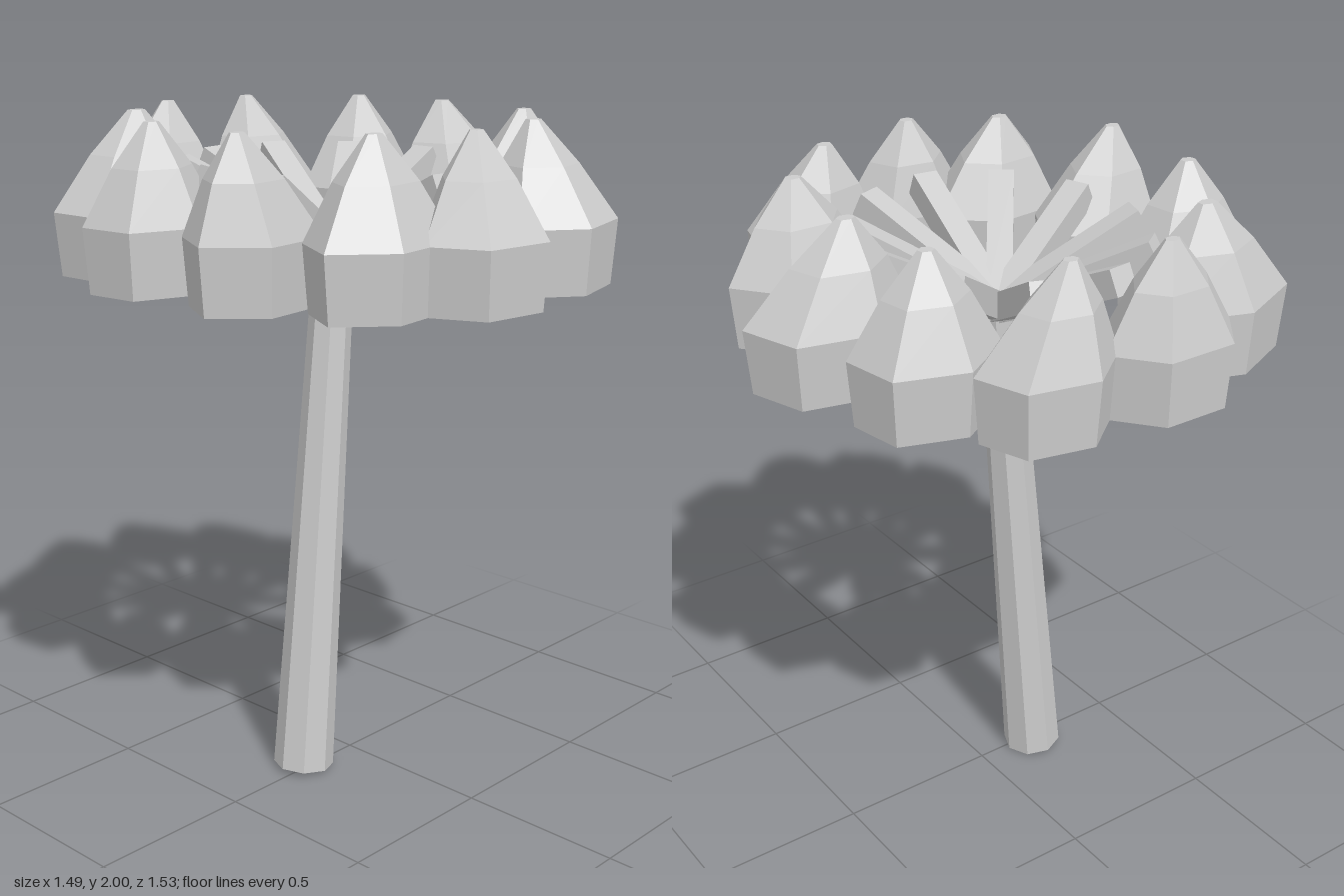
import * as THREE from 'three';

// Closed solid lofted through rings of equal point count, listed bottom to top
function loft(rings) {
  const pos = [];
  const n = rings[0].length;
  const tri = (...pts) => pts.forEach((p) => pos.push(p.x, p.y, p.z));
  const middle = (ring) => ring.reduce((s, p) => s.add(p), new THREE.Vector3()).divideScalar(n);
  const low = rings[0];
  const high = rings[rings.length - 1];
  for (let i = 0; i < n; i++) {
    const j = (i + 1) % n;
    for (let k = 0; k < rings.length - 1; k++) {
      const a = rings[k];
      const b = rings[k + 1];
      tri(a[i], b[i], a[j]);
      tri(a[j], b[i], b[j]);
    }
    tri(middle(low), low[i], low[j]);
    tri(middle(high), high[j], high[i]);
  }
  const geo = new THREE.BufferGeometry();
  geo.setAttribute('position', new THREE.Float32BufferAttribute(pos, 3));
  geo.computeVertexNormals();
  return geo;
}

// Mesh whose local +y runs from one point to another
function along(geo, material, from, to) {
  const mesh = new THREE.Mesh(geo, material);
  mesh.position.copy(from).add(to).multiplyScalar(0.5);
  mesh.quaternion.setFromUnitVectors(new THREE.Vector3(0, 1, 0), to.clone().sub(from).normalize());
  return mesh;
}

// Six-sided clump: tapered base, shoulder, then a peak leaning to its apex
function clumpGeometry([x, z, rx, rz, phase, ax, az]) {
  // height, scale, shift towards the apex
  const levels = [[1.54, 0.93, 0], [1.725, 1, 0], [1.88, 0.57, 0.6], [2, 0.11, 1]];
  return loft(levels.map(([y, s, shift]) => Array.from({ length: 6 }, (_, i) => {
    const a = THREE.MathUtils.degToRad(phase + i * 60);
    return new THREE.Vector3(
      x + (ax - x) * shift + Math.cos(a) * rx * s,
      y,
      z + (az - z) * shift + Math.sin(a) * rz * s,
    );
  })));
}

export function createModel() {
  const group = new THREE.Group();
  const grey = new THREE.MeshStandardMaterial({ color: 0xcccccc, flatShading: true });
  grey.name = 'plain grey';

  // Leaning, tapering trunk
  const hub = new THREE.Vector3(-0.045, 1.61, -0.02);
  const foot = new THREE.Vector3(-0.19, 0.013, -0.02);
  const trunkGeo = new THREE.CylinderGeometry(0.06, 0.092, hub.distanceTo(foot), 8);
  const trunk = along(trunkGeo, grey, foot, hub);
  trunk.name = 'trunk';
  group.add(trunk);

  // Square branches fanning upwards from the trunk top
  const count = 11;
  const branches = new THREE.Group();
  branches.name = 'branches';
  for (let i = 0; i < count; i++) {
    const a = (i / count) * Math.PI * 2;
    const run = new THREE.Vector3(0.41 * Math.cos(a), 0.23, 0.475 * Math.sin(a));
    const geo = new THREE.BoxGeometry(0.076, run.length(), 0.076);
    const branch = new THREE.Mesh(geo, grey);
    branch.position.copy(hub).addScaledVector(run, 0.5);
    // Local x stays level so the branch does not twist
    const dir = run.clone().normalize();
    const side = new THREE.Vector3(-dir.z, 0, dir.x).normalize();
    branch.quaternion.setFromRotationMatrix(
      new THREE.Matrix4().makeBasis(side, dir, side.clone().cross(dir)),
    );
    branch.name = 'branch' + (i + 1);
    branches.add(branch);
  }
  group.add(branches);

  // Ring of foliage clumps: centre x, z, radii x, z, turn, apex x, z
  const clumps = [
    [0.51, -0.02, 0.24, 0.185, 16, 0.465, -0.05],
    [0.405, 0.305, 0.23, 0.17, 0, 0.42, 0.3],
    [0.22, 0.55, 0.215, 0.18, -18, 0.2, 0.5],
    [-0.135, 0.605, 0.21, 0.17, 10, -0.12, 0.56],
    [-0.365, 0.445, 0.235, 0.17, -9, -0.37, 0.43],
    [-0.53, 0.15, 0.212, 0.17, -7, -0.59, 0.16],
    [-0.555, -0.22, 0.21, 0.17, 24, -0.56, -0.21],
    [-0.41, -0.48, 0.255, 0.175, 27, -0.37, -0.5],
    [-0.14, -0.635, 0.21, 0.155, 0, -0.12, -0.65],
    [0.22, -0.59, 0.203, 0.16, 15, 0.17, -0.61],
    [0.425, -0.35, 0.21, 0.172, 22, 0.42, -0.355],
  ];
  const foliage = new THREE.Group();
  foliage.name = 'foliage';
  clumps.forEach((c, i) => {
    const clump = new THREE.Mesh(clumpGeometry(c), grey);
    clump.name = 'foliageClump' + (i + 1);
    foliage.add(clump);
  });
  group.add(foliage);

  return group;
}
